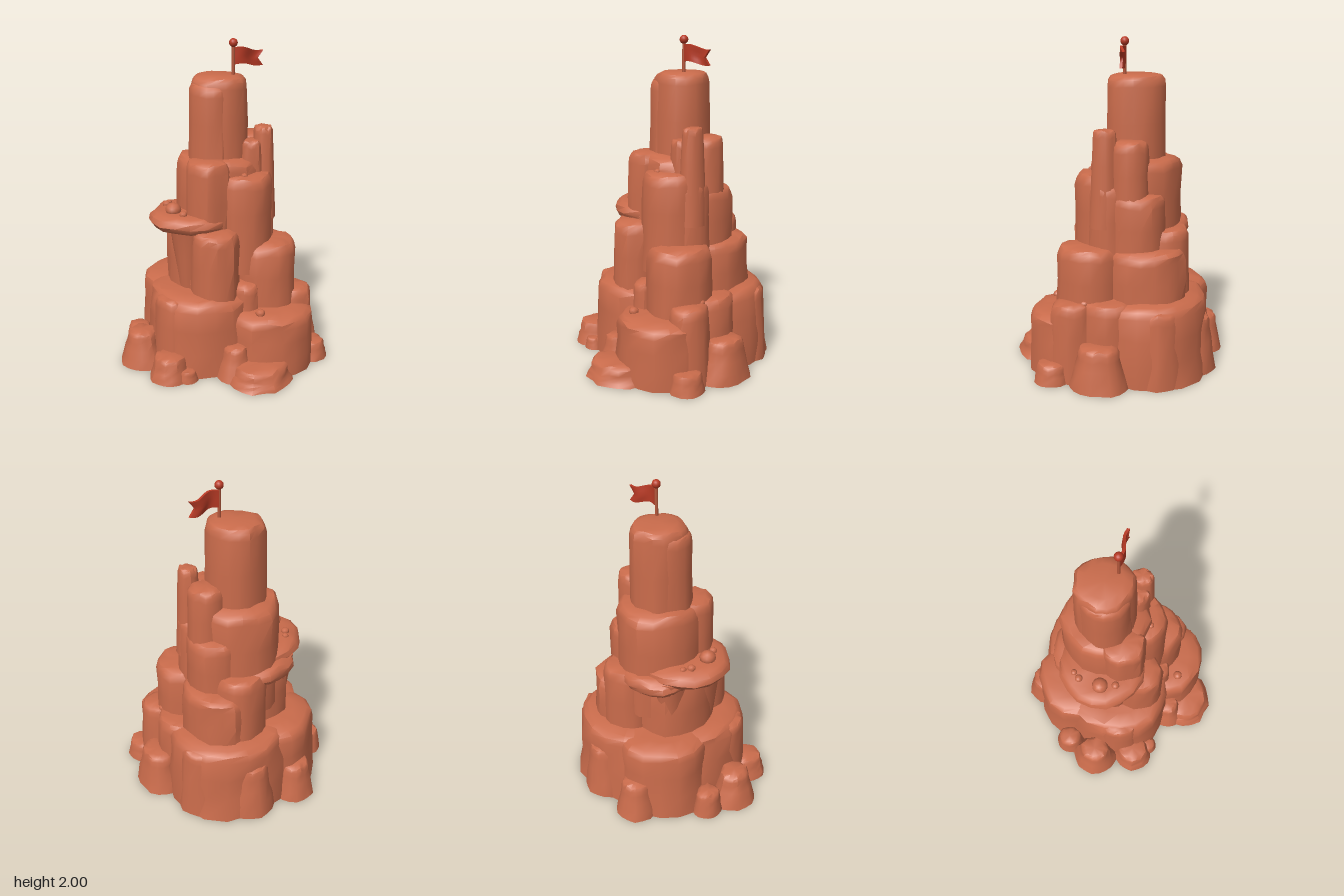
import * as THREE from 'three';
import { toCreasedNormals } from 'three/addons/utils/BufferGeometryUtils.js';

const rockMat = new THREE.MeshStandardMaterial({ color: 0xc96b4b });
const poleMat = new THREE.MeshStandardMaterial({ color: 0xb4583c });
const flagMat = new THREE.MeshStandardMaterial({ color: 0xb83a25, side: THREE.DoubleSide });
rockMat.name = 'terracotta rock';
poleMat.name = 'brown pole';
flagMat.name = 'red cloth';

let seed = 7;
const rand = () => {
  seed = (seed * 16807) % 2147483647;
  return seed / 2147483647;
};

// Closed stack of fluted rings; profile rows are [height, radius factor]
function ringStack(x, z, rx, rz, profile, rough, sides = 18) {
  const pos = [], index = [], turn = rand() * 6.28;
  const flute = Array.from({ length: sides }, () => 1 + (rand() - 0.5) * rough);
  const chip = Array.from({ length: sides }, () => (rand() - 0.6) * 0.02);
  const rows = profile.length, low = rows * sides, high = low + 1;
  profile.forEach(([y, f], j) => {
    const rim = j > rows - 5 && j < rows - 1 && j > 0 ? 1 : 0;
    for (let i = 0; i < sides; i++) {
      const a = turn + (i / sides) * Math.PI * 2;
      const k = f * flute[i] * (1 + (rand() - 0.5) * rough * 0.6);
      pos.push(x + Math.cos(a) * rx * k, y + rim * chip[i], z + Math.sin(a) * rz * k);
    }
  });
  pos.push(x, profile[0][0], z, x, profile[rows - 1][0], z);
  for (let i = 0; i < sides; i++) {
    const n = (i + 1) % sides;
    for (let j = 0; j < rows - 1; j++) {
      const a = j * sides + i, b = j * sides + n;
      index.push(a, a + sides, b, b, a + sides, b + sides);
    }
    index.push(low, i, n, high, (rows - 1) * sides + n, (rows - 1) * sides + i);
  }
  const g = new THREE.BufferGeometry();
  g.setAttribute('position', new THREE.Float32BufferAttribute(pos, 3));
  g.setIndex(index);
  return toCreasedNormals(g, 0.75);
}

// Rock column with a rounded rim; taper is the rim radius relative to the foot
function column(x, z, rx, rz, y0, y1, taper = 0.93) {
  const b = Math.min(0.07, (y1 - y0) * 0.5, Math.min(rx, rz) * 0.5), h = y1 - b - y0;
  const mid = (t) => 1 + (taper - 1) * t;
  return ringStack(x, z, rx, rz, [
    [y0, 1], [y0 + h * 0.35, mid(0.35)], [y0 + h * 0.7, mid(0.7)], [y1 - b, taper],
    [y1 - b * 0.45, taper * 0.96], [y1 - b * 0.15, taper * 0.87], [y1, taper * 0.62],
  ], 0.1);
}

export function createModel() {
  const model = new THREE.Group();
  const add = (name, geometry, material, parent = model) => {
    const mesh = new THREE.Mesh(geometry, material);
    mesh.name = name;
    parent.add(mesh);
    return mesh;
  };

  // Tiers of columns: x, z, radius x, radius z, bottom, top, taper
  const tiers = {
    baseTier: [
      [-0.13, 0.0, 0.345, 0.37, 0, 0.495, 0.92], [-0.1, -0.23, 0.33, 0.33, 0, 0.49, 0.92],
      [0.15, -0.19, 0.405, 0.39, 0, 0.49, 0.92], [0.21, 0.265, 0.285, 0.27, 0, 0.39, 0.96],
      [0.4, 0.23, 0.13, 0.15, 0, 0.475, 0.82], [0.35, 0.02, 0.17, 0.2, 0, 0.485, 0.9],
      [-0.37, 0.08, 0.11, 0.15, 0, 0.475, 0.85],
    ],
    lowerTier: [
      [-0.105, 0.13, 0.155, 0.175, 0.3, 0.89, 0.95], [0.24, 0.14, 0.205, 0.205, 0.25, 0.79, 0.95],
      [0.22, -0.18, 0.215, 0.255, 0.3, 0.78, 0.95], [0.13, -0.31, 0.16, 0.14, 0.3, 0.885, 0.93],
      [-0.06, -0.1, 0.255, 0.27, 0.3, 0.88, 0.96], [0.06, 0.2, 0.1, 0.13, 0.3, 0.55, 0.9],
    ],
    middleTier: [
      [0.03, -0.11, 0.275, 0.28, 0.6, 1.3, 0.95], [0.115, 0.085, 0.185, 0.17, 0.6, 1.21, 0.95],
      [0.2, -0.12, 0.165, 0.195, 0.6, 1.105, 0.96], [-0.1, 0.04, 0.14, 0.145, 0.6, 1.3, 0.93],
      [0.22, 0.03, 0.125, 0.13, 0.6, 1.16, 0.92],
    ],
    upperTier: [
      [0.23, -0.1, 0.115, 0.12, 0.9, 1.415, 0.92], [0.26, 0.05, 0.08, 0.095, 0.9, 1.48, 0.7],
      [0.18, 0.05, 0.08, 0.08, 1, 1.4, 0.85], [0.03, -0.105, 0.182, 0.185, 1, 1.785, 0.93],
      [-0.035, -0.09, 0.135, 0.155, 1.1, 1.745, 0.93],
    ],
    footBoulders: [
      [-0.53, -0.04, 0.135, 0.155, 0, 0.225, 0.67], [-0.44, 0.21, 0.13, 0.13, 0, 0.15, 0.8],
      [-0.48, -0.24, 0.09, 0.1, 0, 0.16, 0.8], [-0.13, -0.51, 0.135, 0.145, 0, 0.24, 0.75],
      [0.17, -0.48, 0.155, 0.14, 0, 0.34, 0.72], [0.525, 0.05, 0.135, 0.18, 0, 0.255, 0.72],
      [0.48, 0.34, 0.1, 0.11, 0, 0.12, 0.85], [0.05, 0.47, 0.2, 0.18, 0, 0.115, 0.86],
      [-0.07, 0.36, 0.12, 0.13, 0, 0.2, 0.62], [-0.36, 0.31, 0.06, 0.05, 0, 0.07, 0.8],
      [0.42, -0.29, 0.13, 0.15, 0, 0.46, 0.8],
    ],
  };
  for (const [name, list] of Object.entries(tiers)) {
    const tier = new THREE.Group();
    tier.name = name;
    model.add(tier);
    for (const c of list) add('rockColumn', column(...c), rockMat, tier);
  }

  // Overhanging ledge stepping down towards the back: x, z, radii, underside height
  for (const [x, z, rx, rz, y] of [[-0.14, -0.08, 0.29, 0.27, 0.86], [-0.05, -0.23, 0.225, 0.2, 0.8]]) {
    add('ledge', ringStack(x, z, rx, rz, [
      [y, 0.78], [y + 0.015, 0.93], [y + 0.045, 1], [y + 0.08, 0.97], [y + 0.1, 0.87], [y + 0.11, 0.7],
    ], 0.06), rockMat);
  }

  // Undercut brackets below the ledge
  for (const [x, z] of [[-0.22, 0.0], [-0.17, -0.22]]) {
    add('ledgeBracket', ringStack(x, z, 0.1, 0.13, [
      [0.45, 0.6], [0.55, 0.7], [0.7, 0.85], [0.82, 1], [0.89, 1.1],
    ], 0.1), rockMat);
  }

  // Loose stones on ledges: x, y, z, size
  const stones = [
    [-0.3, 0.985, -0.05, 0.05], [-0.27, 0.975, 0.04, 0.025], [-0.29, 0.975, -0.19, 0.025],
    [-0.26, 0.97, -0.23, 0.02], [0.08, 1.21, 0.16, 0.02], [0.42, 0.47, 0.15, 0.025],
    [0.09, 0.395, 0.38, 0.03],
  ];
  for (const [x, y, z, r] of stones) {
    const s = add('looseStone', toCreasedNormals(new THREE.IcosahedronGeometry(r, 1), 0.75), rockMat);
    s.position.set(x, y, z);
    s.scale.y = 0.85;
  }

  // Flagpole with a ball on top
  const px = 0.1, pz = -0.045;
  add('flagPole', new THREE.CylinderGeometry(0.01, 0.01, 0.24, 10), poleMat).position.set(px, 1.85, pz);
  add('poleBall', new THREE.SphereGeometry(0.026, 14, 10), flagMat).position.set(px, 1.974, pz);

  // Waving swallow-tailed flag
  const flag = new THREE.BoxGeometry(1, 1, 0.016, 12, 4, 1);
  const p = flag.attributes.position;
  for (let i = 0; i < p.count; i++) {
    const u = p.getX(i) + 0.5, v = p.getY(i);
    const notch = (1 - Math.abs(v) * 2) * 0.035 * u;
    p.setXYZ(i, px + 0.007 + u * 0.19 - notch,
      1.896 - 0.018 * u + 0.008 * Math.sin(u * 6) + v * (0.1 - 0.01 * u),
      pz + 0.012 * Math.sin(u * 6) + p.getZ(i));
  }
  flag.computeVertexNormals();
  add('flag', flag, flagMat);

  return model;
}
